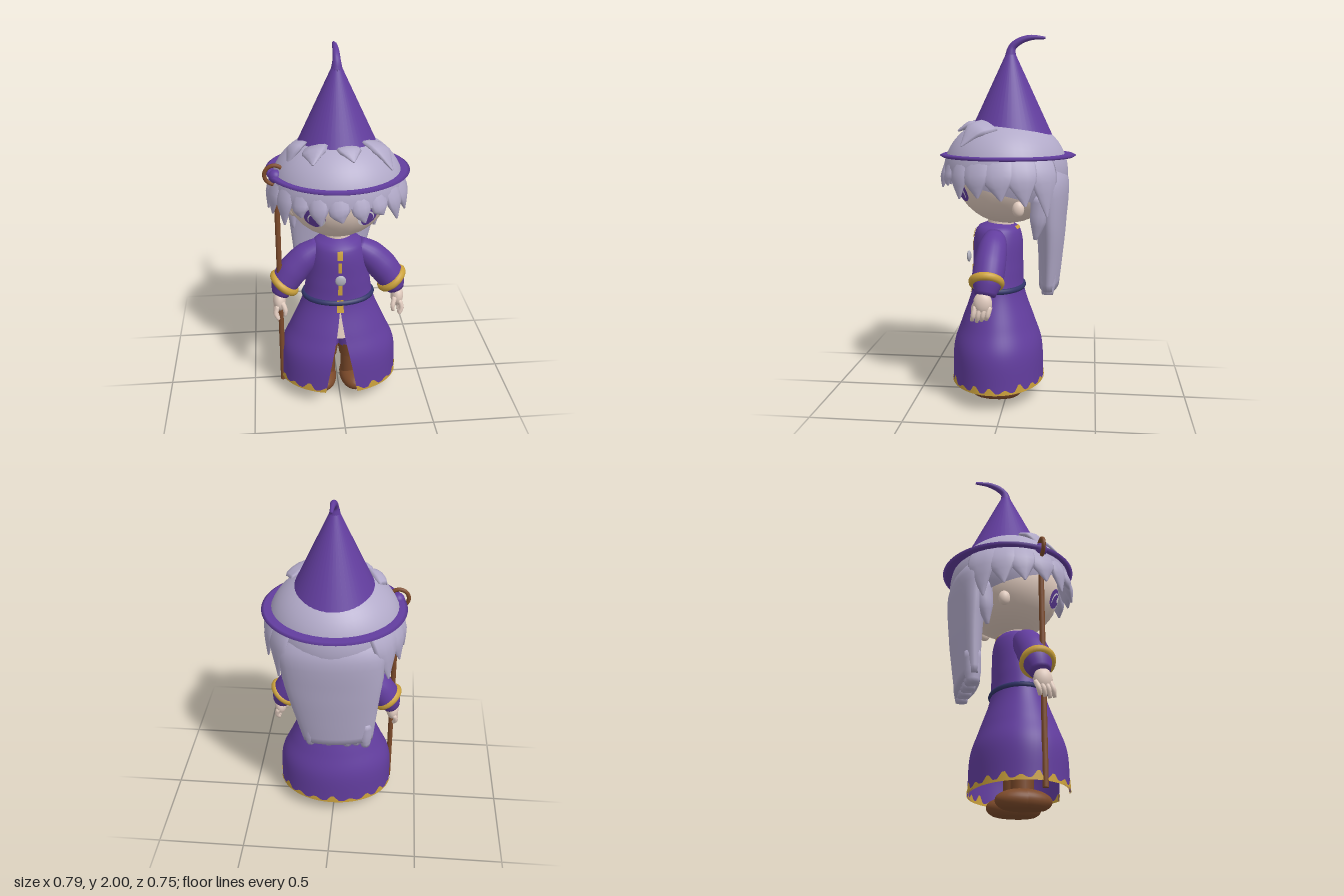
import * as THREE from 'three';
import { mergeVertices } from 'three/addons/utils/BufferGeometryUtils.js';
import { ParametricGeometry } from 'three/addons/geometries/ParametricGeometry.js';

const mat = (name, color) => {
  const m = new THREE.MeshStandardMaterial({ color, side: THREE.DoubleSide });
  m.name = name;
  return m;
};
const V = (x, y, z) => new THREE.Vector3(x, y, z);
const lerp = THREE.MathUtils.lerp;

// Smooth surface from f(u, v) => Vector3, u running around and v along
function grid(f, nu, nv) {
  let g = new ParametricGeometry((u, v, t) => t.copy(f(u, v)), nu, nv);
  g.deleteAttribute('uv');
  g.deleteAttribute('normal');
  g = mergeVertices(g, 1e-5);
  g.computeVertexNormals();
  return g;
}

// Closed elliptical sweep through points [x, y, z, halfWidth, halfThickness]; ref is the thickness direction
function sweep(pts, ref = V(0, 0, 1), sides = 14, rows = 14) {
  const curve = new THREE.CatmullRomCurve3(pts.map(p => V(p[0], p[1], p[2])));
  return grid((u, v) => {
    const t = THREE.MathUtils.clamp((v * rows - 1) / (rows - 2), 0, 1);
    const k = Math.min(Math.floor(t * (pts.length - 1)), pts.length - 2), f = t * (pts.length - 1) - k;
    const end = v * rows < 0.5 || v * rows > rows - 0.5 ? 0 : 1;
    const T = curve.getTangent(t), S = ref.clone().cross(T).normalize(), N = T.clone().cross(S);
    const a = u * Math.PI * 2;
    return curve.getPoint(t)
      .addScaledVector(S, end * Math.cos(a) * lerp(pts[k][3], pts[k + 1][3], f))
      .addScaledVector(N, end * Math.sin(a) * lerp(pts[k][4], pts[k + 1][4], f));
  }, sides, rows);
}

// Robe profile: half width, height and half depth
const robeRows = new THREE.CatmullRomCurve3([
  [.337, .1, .256], [.328, .3, .247], [.274, .43, .205], [.2, .61, .146], [.178, .75, .14],
  [.155, .9, .135], [.13, .96, .115], [.06, .988, .06]].map(p => V(...p))).getPoints(80);
function robePoint(phi, y, off = 0) {
  let i = robeRows.findIndex(p => p.y >= y);
  i = i < 0 ? robeRows.length - 1 : Math.max(i, 1);
  const a = robeRows[i - 1], b = robeRows[i];
  const p = a.clone().lerp(b, THREE.MathUtils.clamp((y - a.y) / (b.y - a.y), 0, 1));
  return V((p.x + off) * Math.sin(phi), y, .055 + (p.z + off) * Math.cos(phi));
}
// Half angle of the front slit
const slit = y => Math.asin(Math.max(0, (.6 - y) * .17) / .32);

export function createModel() {
  const purple = mat('robe purple', 0x623d9e), hair = mat('lilac hair', 0xb2aac9), skin = mat('skin', 0xe3cdc0);
  const gold = mat('gold trim', 0xcca23c), brown = mat('brown leather', 0x7c4a2a), navy = mat('navy belt', 0x32356a);
  const silver = mat('silver', 0xb0b0bc), white = mat('eye white', 0xeeeaf2);
  const model = new THREE.Group();
  const add = (name, geo, m, x = 0, y = 0, z = 0) => {
    const mesh = new THREE.Mesh(geo, m);
    mesh.name = name;
    mesh.position.set(x, y, z);
    model.add(mesh);
    return mesh;
  };
  const ball = (name, m, x, y, z, rx, ry, rz) =>
    add(name, new THREE.SphereGeometry(1, 28, 18).scale(rx, ry, rz), m, x, y, z);

  // Robe with a front slit
  add('robe', grid((u, v) => {
    const y = lerp(.1, .988, v), g = slit(y);
    return robePoint(lerp(g, Math.PI * 2 - g, u), y);
  }, 64, 48), purple);

  // Jagged hem trim, outside and inside
  for (const off of [.004, -.004]) {
    add('hemTrim', grid((u, v) => {
      const k = u * 18, tooth = Math.abs((k % 1) - .5) * 2, size = .026 + .012 * Math.sin(Math.floor(k + .5) * 2.3);
      const y = .098 + v * (.01 + size * Math.min(1, Math.max(0, tooth * 1.8 - .5))), g = slit(y);
      return robePoint(lerp(g, Math.PI * 2 - g, u), y, off);
    }, 216, 1), gold);
  }
  // Front placket and back collar patch
  for (const [y0, y1, w] of [[.575, .65, .09], [.68, .74, .06], [.82, .88, .06], [.895, .945, .1]]) {
    add('placket', grid((u, v) => robePoint(lerp(-w, w, u), lerp(y0, y1, v), .005), 4, 10), gold);
  }
  add('collarTrim', grid((u, v) => robePoint(lerp(2.7, 3.6, u), lerp(.955, .97, v), .004), 10, 2), gold);
  ball('brooch', silver, 0, .785, .222, .03, .032, .012);

  // Belt
  const waist = Array.from({ length: 32 }, (_, i) => robePoint(i * Math.PI / 16, .628, -.003));
  add('belt', new THREE.TubeGeometry(new THREE.CatmullRomCurve3(waist, true), 64, .016, 8, true), navy);

  // Neck, head and pale undergarment
  add('neck', new THREE.CylinderGeometry(.07, .075, .12, 20), skin, 0, .99, .04);
  ball('head', skin, 0, 1.245, 0, .285, .262, .288);
  add('undershirt', new THREE.CylinderGeometry(.125, .155, .2, 24), skin, 0, .5, .055);

  for (const s of [-1, 1]) {
    ball('ear', skin, s * .24, 1.09, -.08, .025, .042, .032);

    // Eyes laid on the face
    const eyeDisc = (name, m, x, y, rx, ry, off) => {
      const g = new THREE.CircleGeometry(1, 24).scale(rx, ry, 1).translate(s * x, y, 0), p = g.attributes.position;
      for (let i = 0; i < p.count; i++) {
        p.setZ(i, .288 * Math.sqrt(1 - (p.getX(i) / .285) ** 2 - ((p.getY(i) - 1.245) / .262) ** 2) + off);
      }
      g.computeVertexNormals();
      add(name, g, m);
    };
    eyeDisc('lash', purple, .138, 1.175, .055, .057, .003);
    eyeDisc('eyeWhite', white, .13, 1.166, .045, .046, .005);
    eyeDisc('iris', purple, .136, 1.16, .034, .042, .007);
    eyeDisc('eyeGlint', white, .124, 1.177, .013, .016, .009);

    // Sleeve, cuff and hand
    add('sleeve', sweep([[s * .1, .92, .06, .055, .06], [s * .175, .865, .064, .08, .08], [s * .248, .79, .07, .086, .086],
      [s * .3, .715, .076, .08, .085], [s * .33, .645, .085, .05, .055]], V(0, 0, 1), 24, 20), purple);
    const cuff = add('cuff', new THREE.TorusGeometry(.072, .024, 10, 32), gold, s * .304, .71, .08);
    cuff.quaternion.setFromUnitVectors(V(0, 0, 1), V(s * .64, -.76, 0).normalize());
    ball('palm', skin, s * .336, .605, .096, .036, .062, .05);
    for (let i = 0; i < 4; i++) {
      const z = .056 + i * .025;
      add('finger', sweep([[s * .346, .59, z, .013, .014], [s * .358, .545, z + .012, .014, .014],
        [s * .343, .506 + .006 * Math.abs(i - 2), z + .022, .009, .01]], V(0, 0, 1), 8, 8), skin);
    }
    add('thumb', sweep([[s * .32, .61, .13, .015, .015], [s * .305, .57, .15, .014, .014],
      [s * .308, .535, .153, .009, .009]], V(0, 0, 1), 8, 8), skin);

    // Purple breeches, tall boots with wide cuffs
    add('breeches', new THREE.CylinderGeometry(.085, .072, .13, 20), purple, s * .066, .355, .065);
    add('bootCuff', new THREE.CylinderGeometry(.076, .062, .09, 20), brown, s * .07, .257, .065);
    add('bootShaft', new THREE.CylinderGeometry(.06, .058, .17, 20), brown, s * .076, .145, .055);
    const foot = new THREE.SphereGeometry(1, 24, 18).scale(.086, .062, .148), fp = foot.attributes.position;
    for (let i = 0; i < fp.count; i++) fp.setY(i, Math.max(fp.getY(i), -.044));
    foot.computeVertexNormals();
    add('boot', foot, brown, s * .096, .046, .057);
  }

  // Hair cap, cut higher over the face
  add('hairCap', grid((u, v) => {
    const phi = u * Math.PI * 2, low = 1.18 + .09 * Math.cos(phi);
    const a = lerp(Math.asin((low - 1.27) / .3), Math.PI / 2, v), r = Math.cos(a);
    return V(.36 * r * Math.sin(phi), 1.27 + .3 * Math.sin(a), .012 + .342 * r * Math.cos(phi));
  }, 48, 20), hair);

  // Fringe and side locks: angle in degrees, tip height, half width
  const locks = [[-4, 1.2, .06], [14, 1.19, .055], [31, 1.21, .055], [49, 1.15, .065], [68, 1.16, .08], [88, 1.15, .085],
    [108, 1.12, .09], [128, 1.06, .09], [-21, 1.18, .056], [-37, 1.21, .055], [-55, 1.14, .065], [-74, 1.16, .08],
    [-94, 1.14, .085], [-112, 1.12, .09], [-130, 1.06, .09]];
  for (const [deg, tip, w] of locks) {
    const a = deg * Math.PI / 180, out = V(Math.sin(a), 0, Math.cos(a));
    const at = (r, y, rw, rt, turn = 0) =>
      [r * Math.sin(a + turn), y, .003 + .955 * r * Math.cos(a + turn), rw, rt];
    add('hairLock', sweep([at(.27, 1.42, w * .6, .012), at(.328, 1.34, w, .02), at(.362, 1.25, w * .95, .024, .02),
      at(.374, tip, .006, .005, .06)], out, 10, 12), hair);
  }

  // Loose tufts around the hat
  for (const [x, z, tx, ty, tz, w] of [[-.12, .12, -.145, 1.475, .255, .075], [.035, .14, .06, 1.49, .268, .068],
    [.17, .08, .265, 1.42, .215, .085], [-.2, .05, -.27, 1.42, .12, .065]]) {
    add('hairTuft', sweep([[x, 1.525, z, w, .015], [lerp(x, tx, .5), lerp(1.535, ty, .3), lerp(z, tz, .5), w * .9, .022],
      [tx, ty, tz, .006, .005]], V(x, .25, z).normalize(), 10, 10), hair);
  }

  // Long back hair drifting to its right, with ragged ends
  add('backHair', sweep([[0, 1.36, -.18, .22, .07], [0, 1.22, -.225, .285, .112], [-.008, 1.02, -.24, .262, .085],
    [-.022, .82, -.238, .225, .068], [-.035, .64, -.23, .195, .056]], V(0, 0, 1), 32, 20), hair);
  for (let i = 0; i < 7; i++) {
    const x = (i - 3) * .05 - .035;
    add('hairEnd', sweep([[x, .78, -.235, .045, .045], [x, .67, -.232, .042, .043],
      [x * 1.03, .607 + .012 * (i % 2), -.23, .026, .032]], V(0, 0, 1), 10, 8), hair);
  }
  for (const s of [-1, 1]) {
    add('hairEnd', sweep([[s * .235, 1.16, -.2, .045, .055], [s * .24, 1.03, -.185, .035, .045],
      [s * .235, .93, -.17, .008, .01]], V(0, 0, 1), 10, 10), hair);
  }

  // Hat: cone, curled tip and brim ring
  add('hatCone', new THREE.CylinderGeometry(.022, .27, .53, 48, 1, true), purple, 0, 1.645, -.014);
  add('hatTip', sweep([[0, 1.88, -.012, .032, .032], [0, 1.935, -.022, .021, .021], [0, 1.967, -.06, .019, .018],
    [0, 1.986, -.12, .015, .014], [0, 1.984, -.2, .007, .007]], V(1, 0, 0), 14, 20), purple);
  const brim = [[.29, 1.354], [.372, 1.35], [.389, 1.36], [.372, 1.369], [.29, 1.366]].map(p => new THREE.Vector2(...p));
  add('hatBrim', new THREE.LatheGeometry(brim, 64).scale(1, 1, .96), purple, .003);

  // Staff with ring and orb
  add('staff', new THREE.CylinderGeometry(.015, .015, 1.27, 14), brown, -.33, .7, .1);
  add('staffRing', new THREE.TorusGeometry(.052, .011, 10, 32), brown, -.338, 1.37, .1);
  ball('staffOrb', purple, -.333, 1.362, .1, .036, .036, .036);
  return model;
}
